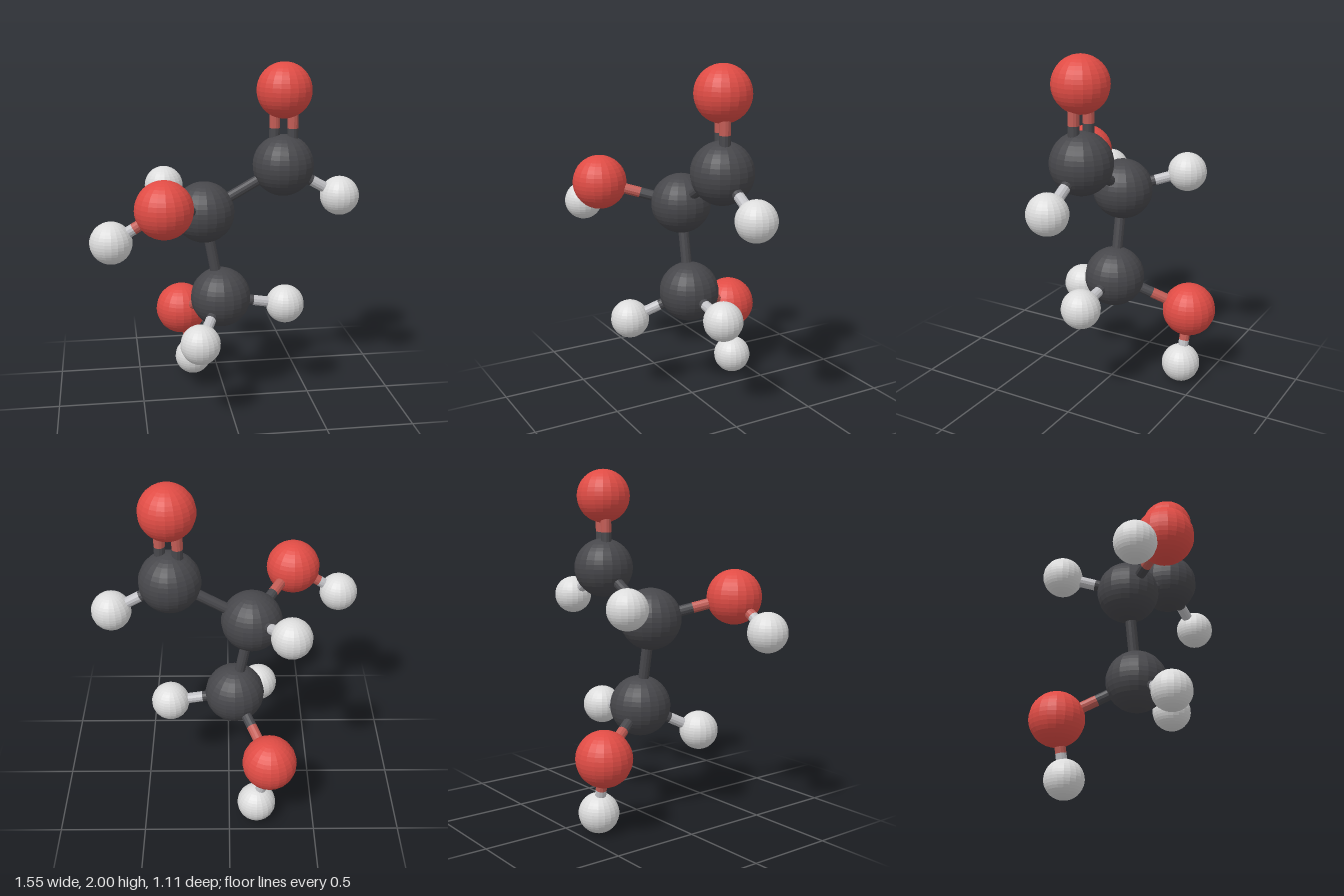
import * as THREE from 'three';

export function createModel() {
  const model = new THREE.Group();
  const paint = (name, color) => {
    const m = new THREE.MeshStandardMaterial({ color, flatShading: true });
    m.name = name;
    return m;
  };

  // Each kind of atom: radius, ball colour and a duller stick colour
  const kinds = {
    carbon: { r: 0.175, ball: paint('charcoal', 0x47474b), stick: paint('dark grey', 0x48484c) },
    oxygen: { r: 0.157, ball: paint('red', 0xe04c45), stick: paint('dull red', 0xc25c55) },
    hydrogen: { r: 0.113, ball: paint('white', 0xdcdcdc), stick: paint('light grey', 0xc2c2c6) },
  };

  // Atom centres
  const atoms = {
    topCarbon: ['carbon', 0.325, 1.42, 0],
    middleCarbon: ['carbon', -0.13, 1.16, 0],
    bottomCarbon: ['carbon', -0.035, 0.645, 0],
    topOxygen: ['oxygen', 0.325, 1.843, 0],
    frontOxygen: ['oxygen', -0.385, 1.28, 0.4],
    backOxygen: ['oxygen', -0.232, 0.44, -0.397],
    topHydrogen: ['hydrogen', 0.66, 1.232, 0],
    middleHydrogen: ['hydrogen', -0.335, 1.255, -0.315],
    frontOxygenHydrogen: ['hydrogen', -0.665, 1.11, 0.388],
    sideHydrogen: ['hydrogen', 0.35, 0.582, 0],
    frontHydrogen: ['hydrogen', -0.19, 0.48, 0.315],
    backOxygenHydrogen: ['hydrogen', -0.162, 0.115, -0.385],
  };
  const centre = (name) => new THREE.Vector3(...atoms[name].slice(1));
  const kindOf = (name) => kinds[atoms[name][0]];

  for (const name in atoms) {
    const kind = kindOf(name);
    const ball = new THREE.Mesh(new THREE.SphereGeometry(kind.r, 20, 20), kind.ball);
    ball.name = name;
    ball.position.copy(centre(name));
    model.add(ball);
  }

  // One half of a bond: a plain cylinder between two points
  const up = new THREE.Vector3(0, 1, 0);
  function halfStick(from, to, material, name) {
    const along = to.clone().sub(from);
    const stick = new THREE.Mesh(
      new THREE.CylinderGeometry(0.031, 0.031, along.length(), 12), material);
    stick.name = name;
    stick.position.copy(from).add(to).multiplyScalar(0.5);
    stick.quaternion.setFromUnitVectors(up, along.normalize());
    model.add(stick);
  }

  // A bond changes colour between its two atoms
  function bond(a, b, split = 0.5, offset = new THREE.Vector3()) {
    const start = centre(a).add(offset), end = centre(b).add(offset);
    const middle = start.clone().lerp(end, split);
    halfStick(start, middle, kindOf(a).stick, a + 'Bond');
    halfStick(middle, end, kindOf(b).stick, b + 'Bond');
  }

  bond('topCarbon', 'middleCarbon');
  bond('middleCarbon', 'bottomCarbon');
  bond('middleCarbon', 'frontOxygen');
  bond('bottomCarbon', 'backOxygen');
  bond('topCarbon', 'topHydrogen');
  bond('middleCarbon', 'middleHydrogen');
  bond('bottomCarbon', 'sideHydrogen');
  bond('bottomCarbon', 'frontHydrogen');
  bond('frontOxygen', 'frontOxygenHydrogen', 0.57);
  bond('backOxygen', 'backOxygenHydrogen', 0.57);

  // Double bond: a pair of parallel sticks
  for (const s of [-1, 1]) {
    bond('topCarbon', 'topOxygen', 0.5, new THREE.Vector3(0.049 * s, 0, 0.016 * s));
  }
  return model;
}
